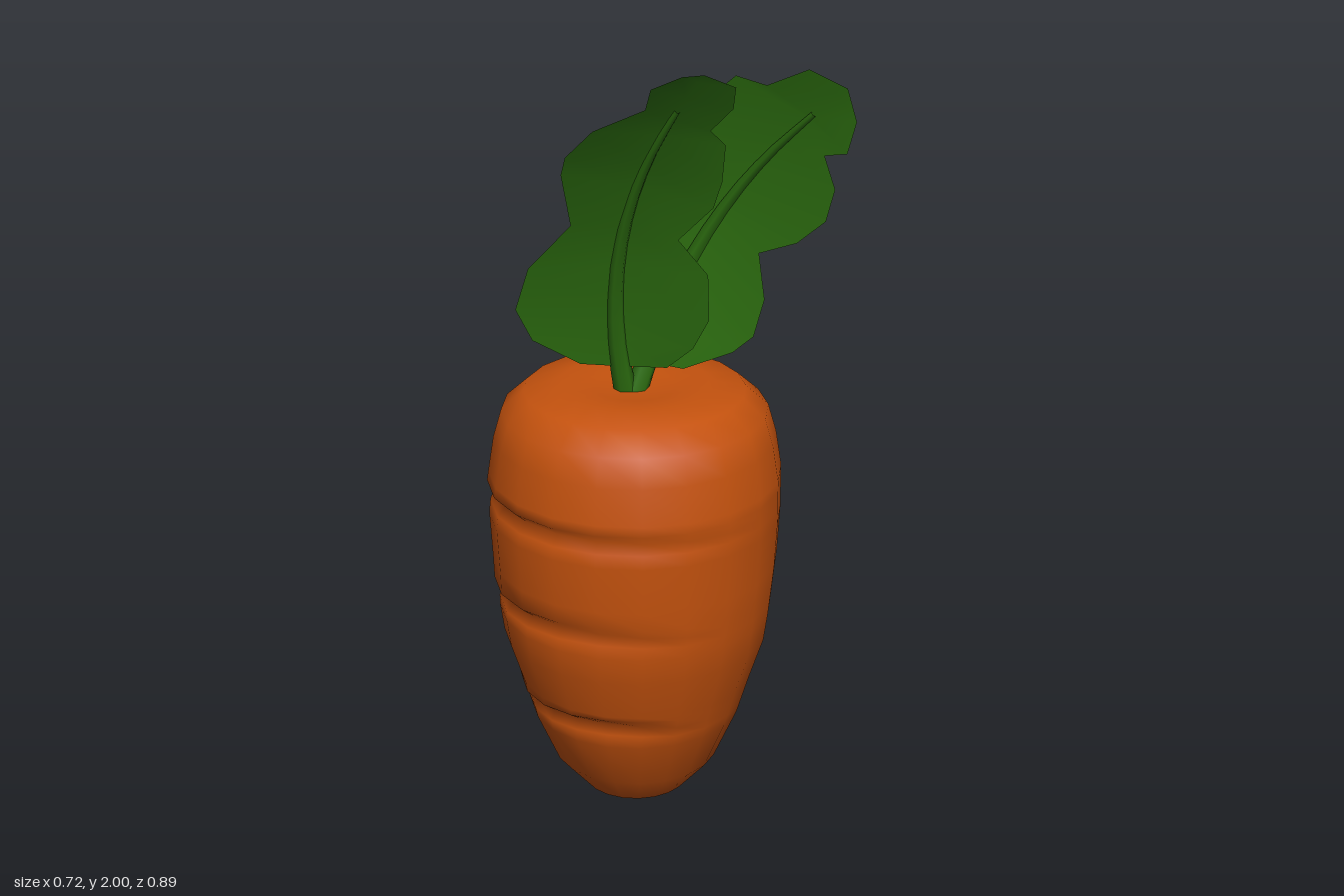
import * as THREE from 'three';
import { mergeVertices } from 'three/addons/utils/BufferGeometryUtils.js';

// Carrot body: a 20-sided lathe with tapering grooves pressed into one side
function rootGeometry() {
  // mid and spread: where each groove lies, as an angle from -x towards -z
  const grooves = [
    { y: 0.86, tilt: 0, mid: 0.1, spread: 1.7 },
    { y: 0.605, tilt: 0.015, mid: 0.05, spread: 1.25 },
    { y: 0.325, tilt: 0.015, mid: -0.25, spread: 1.05 },
  ];
  const profile = [
    [0, 0.005], [0.06, 0.022], [0.13, 0.055], [0.205, 0.14], [0.262, 0.27], [0.292, 0.37],
    [0.328, 0.48], [0.338, 0.55], [0.352, 0.68], [0.359, 0.8], [0.359, 0.91], [0.345, 1],
    [0.325, 1.07], [0.27, 1.12], [0.18, 1.135], [0.1, 1.125], [0, 1.115],
  ].map(([r, y]) => new THREE.Vector2(r, y));
  // Three close rings at each groove
  for (const g of grooves) {
    for (const y of [g.y - 0.025, g.y, g.y + 0.025]) {
      const i = profile.findIndex((p) => p.y > y);
      const a = profile[i - 1], b = profile[i];
      profile.splice(i, 0, a.clone().lerp(b, (y - a.y) / (b.y - a.y)));
    }
  }
  let geo = new THREE.LatheGeometry(profile, 20);
  geo.deleteAttribute('uv');
  geo.deleteAttribute('normal');
  geo = mergeVertices(geo, 1e-4);
  const pos = geo.attributes.position;
  for (let i = 0; i < pos.count; i++) {
    const x = pos.getX(i), y = pos.getY(i), z = pos.getZ(i);
    const angle = Math.atan2(-z, -x);
    for (const g of grooves) {
      const dy = y - g.y;
      if (Math.abs(dy) > 0.03) continue;
      const fade = Math.max(0, 1 - ((angle - g.mid) / g.spread) ** 2);
      const depth = Math.abs(dy) < 0.005 ? 0.025 : -0.004 * Math.sign(dy);
      const k = 1 - (depth * fade) / Math.hypot(x, z);
      pos.setXYZ(i, x * k, y - g.tilt * Math.sin(angle) * fade, z * k);
    }
  }
  geo.computeVertexNormals();
  return geo;
}

// Stalk: a six-sided tube along the spine, narrowing to its tip
function stalkGeometry(spine, top) {
  const steps = 12, sides = 6;
  const points = Array.from({ length: 7 }, (_, i) => spine(THREE.MathUtils.lerp(1.1, top, i / 6)));
  const curve = new THREE.CatmullRomCurve3(points);
  const geo = new THREE.TubeGeometry(curve, steps, 0.028, sides, false);
  const pos = geo.attributes.position, p = new THREE.Vector3();
  for (let i = 0; i < pos.count; i++) {
    const t = Math.floor(i / (sides + 1)) / steps;
    const centre = curve.getPointAt(t);
    p.fromBufferAttribute(pos, i).sub(centre).multiplyScalar(1 - 0.72 * t).add(centre);
    pos.setXYZ(i, p.x, p.y, p.z);
  }
  return geo;
}

// Blade: two lobed edges, each folded away from the spine at its own slope
function bladeGeometry({ spine, axis, tip, edges, slopes }) {
  const other = axis === 'x' ? 'z' : 'x';
  const edgePoint = (side, [w, y]) => {
    const p = spine(y);
    const [low, high] = slopes[side];
    p[other] += (w - p[axis]) * THREE.MathUtils.lerp(low, high, (y - 1.2) / 0.75);
    p[axis] = w;
    return p;
  };
  const rows = edges[0].length;
  const points = [spine(1.18)];
  for (let i = 0; i < rows; i++) {
    const a = edges[0][i], b = edges[1][i];
    points.push(edgePoint(0, a), spine((a[1] + b[1]) / 2), edgePoint(1, b));
  }
  points.push(spine(tip));
  const index = [0, 2, 1, 0, 3, 2];
  for (let i = 0; i < rows - 1; i++) {
    for (let a = 1 + i * 3; a < 3 + i * 3; a++) index.push(a, a + 1, a + 3, a + 1, a + 4, a + 3);
  }
  const end = points.length - 1;
  index.push(end - 3, end - 2, end, end - 2, end - 1, end);
  const geo = new THREE.BufferGeometry().setFromPoints(points);
  geo.setIndex(index);
  geo.computeVertexNormals();
  return geo;
}

// Spines give the leaf's centre line by height; edges are [position along axis, height]
const rightLeaf = {
  spine: (y) => {
    const u = (y - 1.1) / 0.8;
    return new THREE.Vector3(-0.015 - 0.19 * u + 0.1 * u * u, y, -0.1 + 0.3 * u ** 2.2);
  },
  axis: 'x',
  stalkTop: 1.9,
  tip: 2,
  slopes: [[0.36, 0.4], [1.5, 0.6]],
  edges: [
    [[-0.13, 1.2], [-0.25, 1.28], [-0.3, 1.37], [-0.29, 1.48], [-0.22, 1.59], [-0.29, 1.74],
      [-0.3, 1.79], [-0.27, 1.86], [-0.18, 1.91], [-0.2, 1.97], [-0.15, 2]],
    [[0.03, 1.19], [0.06, 1.25], [0.075, 1.33], [0.06, 1.45], [0, 1.54], [0.04, 1.63],
      [0.04, 1.7], [0.02, 1.8], [-0.02, 1.84], [0, 1.9], [-0.02, 1.96]],
  ],
};
const leftLeaf = {
  spine: (y) => {
    const u = (y - 1.1) / 0.8;
    return new THREE.Vector3(0.36 * u - 0.15 * u * u, y, -0.085 + 0.445 * u ** 2.3);
  },
  axis: 'z',
  stalkTop: 1.86,
  tip: 1.94,
  slopes: [[0.15, 0.03], [0.7, 0.27]],
  edges: [
    [[0.03, 1.19], [0.16, 1.26], [0.21, 1.31], [0.22, 1.4], [0.18, 1.5], [0.29, 1.55],
      [0.37, 1.62], [0.39, 1.7], [0.35, 1.77], [0.42, 1.79], [0.445, 1.87]],
    [[-0.12, 1.2], [-0.18, 1.31], [-0.22, 1.41], [-0.21, 1.51], [-0.15, 1.59], [-0.04, 1.65],
      [0, 1.77], [0.05, 1.86], [0.12, 1.92], [0.2, 1.91], [0.32, 1.97]],
  ],
};

export function createModel() {
  const orange = new THREE.MeshStandardMaterial({ color: 0xc4520e });
  orange.name = 'carrotOrange';
  const green = new THREE.MeshStandardMaterial({ color: 0x2d6e10, side: THREE.DoubleSide });
  green.name = 'leafGreen';

  const model = new THREE.Group();
  model.name = 'carrot';
  const add = (parent, name, geometry, material) => {
    const mesh = new THREE.Mesh(geometry, material);
    mesh.name = name;
    parent.add(mesh);
    return mesh;
  };

  add(model, 'root', rootGeometry(), orange).position.z = -0.085;

  for (const [name, leaf] of Object.entries({ rightLeaf, leftLeaf })) {
    const group = new THREE.Group();
    group.name = name;
    add(group, 'stalk', stalkGeometry(leaf.spine, leaf.stalkTop), green);
    add(group, 'blade', bladeGeometry(leaf), green);
    model.add(group);
  }
  return model;
}
